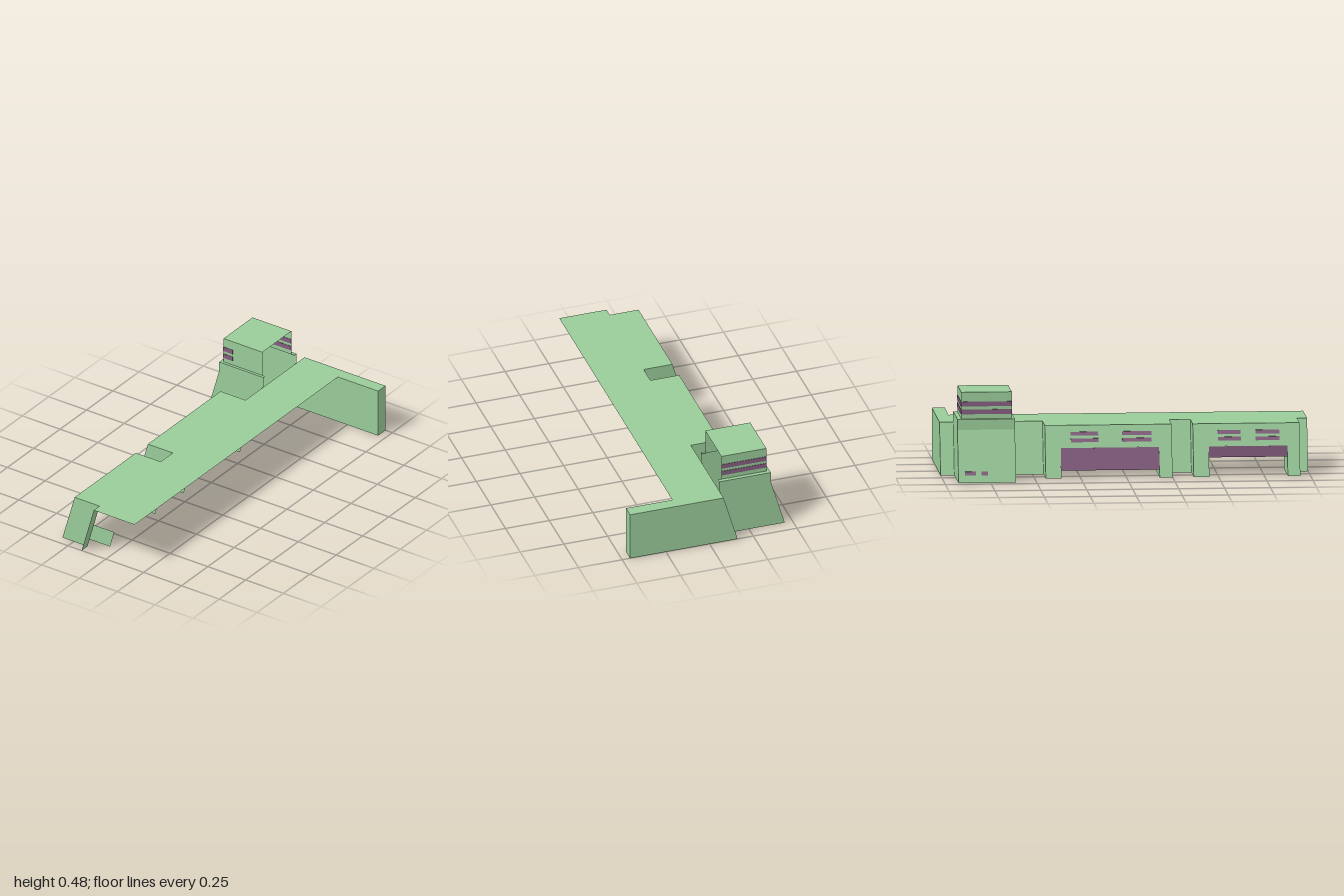
import * as THREE from 'three';

const H = 0.28;             // roof height
const SLOPE = 0.08 / H;     // outward lean of the outer walls
const INNER = -0.08, OUTER = -0.245, TOWER = -0.375; // wall lines at roof height

const green = new THREE.MeshStandardMaterial({ color: 0x99cc99, flatShading: true, side: THREE.DoubleSide });
const purple = new THREE.MeshStandardMaterial({ color: 0x855d80, flatShading: true, side: THREE.DoubleSide });

const lean = (x, y) => x - SLOPE * (H - y);
const flat = (pts) => new THREE.ShapeGeometry(new THREE.Shape(pts.map(([a, b]) => new THREE.Vector2(a, b))));
const rect = (a0, a1, b0, b1) => [[a0, b0], [a1, b0], [a1, b1], [a0, b1]];

function mapVertices(geo, fn) {
  const p = geo.attributes.position;
  for (let i = 0; i < p.count; i++) p.setXYZ(i, ...fn(p.getX(i), p.getY(i), p.getZ(i)));
  geo.computeVertexNormals();
  return geo;
}

export function createModel() {
  const model = new THREE.Group();
  const add = (name, geo, mat = green) => {
    const m = new THREE.Mesh(geo, mat);
    m.name = name;
    model.add(m);
    return m;
  };

  // Wall facing -x, outline in (z, y), either leaning or upright
  const outerPanel = (name, x, pts, leaning = true, mat = green) =>
    add(name, mapVertices(flat(pts), (z, y) => [leaning ? lean(x, y) : x, y, z]), mat);

  // Wall across z, outline in (x, y), facing +z or -z
  const crossPanel = (name, z, pts, dir = 1) => {
    const geo = flat(pts);
    if (dir < 0) geo.index.array.reverse();
    return add(name, mapVertices(geo, (x, y) => [x, y, z]));
  };

  // Horizontal plate, outline in (x, z)
  const plate = (name, y, pts) =>
    add(name, mapVertices(flat(pts.map(([x, z]) => [x, -z])), (x, v) => [x, y, -v]));

  // Thin strip set through a leaning wall
  const leaningStrip = (name, x, z0, z1, y0, y1) => {
    const geo = new THREE.BoxGeometry(0.006, y1 - y0, Math.abs(z1 - z0));
    geo.translate(0, (y0 + y1) / 2, (z0 + z1) / 2);
    add(name, mapVertices(geo, (dx, y, z) => [lean(x, y) + dx, y, z]), purple);
  };

  // Stepped roof with the end wing
  plate('roof', H, [
    [0.19, 1], [INNER, 1], [INNER, 0.945], [OUTER, 0.945], [OUTER, 0.365], [INNER, 0.365],
    [INNER, 0.25], [OUTER, 0.25], [OUTER, -0.44], [INNER, -0.44], [INNER, -1],
    [0.455, -1], [0.455, -0.93], [0.19, -0.93],
  ]);

  // Recessed wall strips between the bays
  for (const [z0, z1] of [[0.945, 1], [0.25, 0.365], [-0.615, -0.44], [-1, -0.925]])
    outerPanel('recessedWall', INNER, rect(z0, z1, 0, H));

  // Projecting bays, each with a doorway, side walls, jambs and window strips
  const bays = [
    { z0: 0.365, z1: 0.945, d0: 0.45, d1: 0.877, glass: 0.10, glassX: -0.28,
      strips: [[0.5, 0.625], [0.705, 0.835]] },
    { z0: -0.44, z1: 0.25, d0: -0.355, d1: 0.18, glass: 0.04, glassX: -0.303,
      strips: [[-0.3, -0.15], [-0.02, 0.14]] },
  ];
  for (const b of bays) {
    outerPanel('bayWall', OUTER, [
      [b.z0, 0], [b.d0, 0], [b.d0, 0.16], [b.d1, 0.16],
      [b.d1, 0], [b.z1, 0], [b.z1, H], [b.z0, H],
    ]);
    for (const [z, dir] of [[b.z0, -1], [b.z1, 1]])
      crossPanel('baySide', z, [[lean(OUTER, 0), 0], [lean(INNER, 0), 0], [INNER, H], [OUTER, H]], dir);
    for (const [z, dir] of [[b.d0, 1], [b.d1, -1]])
      crossPanel('doorJamb', z,
        [[lean(OUTER, 0), 0], [-0.058, 0], [-0.03, 0.1], [lean(OUTER, 0.1), 0.1]], dir);
    // Dark panel hanging in the doorway
    const k = (b.glassX + 0.28) / (0.16 - b.glass);
    add('doorPanel', mapVertices(flat(rect(b.d0, b.d1, b.glass, 0.16)),
      (z, y) => [-0.28 + k * (0.16 - y), y, z]), purple);
    for (const [s0, s1] of b.strips)
      for (const y of [0.19, 0.225]) leaningStrip('windowStrip', OUTER, s0, s1, y, y + 0.02);
  }

  // End wing walls, open underneath
  crossPanel('wingBack', -1, [[lean(INNER, 0), 0], [0.455, 0], [0.455, H], [INNER, H]], -1);
  crossPanel('wingFront', -0.93, [[lean(INNER, 0), 0], [0.455, 0], [0.455, H], [INNER, H]]);
  const cap = outerPanel('wingEnd', 0.455, rect(-1, -0.93, 0, H), false);
  cap.geometry.index.array.reverse();
  cap.geometry.computeVertexNormals();

  // Tower base: leaning foot and upright collar, open towards +x
  const c0 = -0.925, c1 = -0.612, collarTop = 0.338;
  outerPanel('towerBaseWall', TOWER, rect(c0, c1, 0, H));
  outerPanel('collarWall', TOWER, rect(c0, c1, H, collarTop), false);
  for (const [z, dir] of [[c0, -1], [c1, 1]])
    crossPanel('towerBaseSide', z, [
      [lean(TOWER, 0), 0], [lean(INNER, 0), 0], [INNER, H],
      [INNER, collarTop], [TOWER, collarTop], [TOWER, H],
    ], dir);
  for (const [z0, z1] of [[-0.80, -0.765], [-0.89, -0.83]])
    leaningStrip('baseLight', TOWER, z0, z1, 0.04, 0.06);

  // Tower cabin, open towards +x
  const t0 = -0.903, t1 = -0.628, tx0 = -0.357, tx1 = -0.1, top = 0.484;
  plate('collarLedge', collarTop, [
    [INNER, c0], [TOWER, c0], [TOWER, c1], [INNER, c1],
    [INNER, t1], [tx0, t1], [tx0, t0], [INNER, t0],
  ]);
  outerPanel('cabinWall', tx0, rect(t0, t1, collarTop, top), false);
  crossPanel('cabinSide', t0, rect(tx0, tx1, collarTop, top), -1);
  crossPanel('cabinSide', t1, rect(tx0, tx1, collarTop, top));
  plate('cabinRoof', top, [[tx0, t0], [tx0, t1], [tx1, t1], [tx1, t0]]);

  // Cabin window strips: full on the outer and back walls, short on the front
  const strip = (x0, x1, z0, z1, y) => {
    const m = add('cabinStrip', new THREE.BoxGeometry(x1 - x0, 0.026, z1 - z0), purple);
    m.position.set((x0 + x1) / 2, y, (z0 + z1) / 2);
  };
  const e = 0.002;
  for (const y of [0.376, 0.419]) {
    strip(tx0 - e, tx0 + e, t0, t1, y);
    strip(tx0, tx1, t0 - e, t0 + e, y);
    strip(tx0, -0.295, t1 - e, t1 + e, y);
  }
  return model;
}
